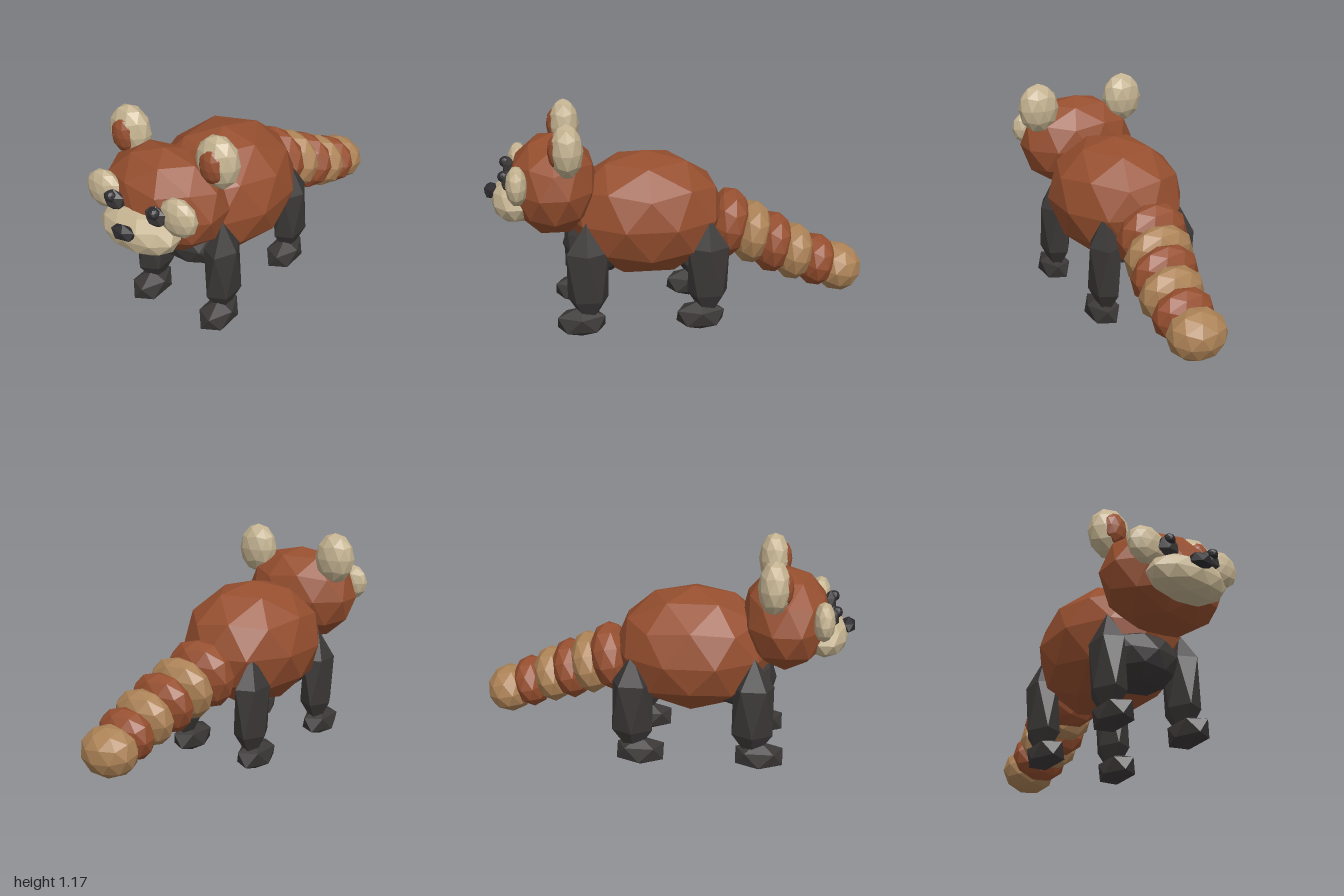
import * as THREE from 'three';

const mat = (name, color) => {
  const m = new THREE.MeshStandardMaterial({ color, flatShading: true });
  m.name = name;
  return m;
};

// Faceted ball with a corner pointing straight up
function facetedBall(detail) {
  const g = new THREE.IcosahedronGeometry(1, detail);
  g.rotateZ(-Math.atan(2 / (1 + Math.sqrt(5))));
  g.computeVertexNormals();
  return g;
}

export function createModel() {
  const root = new THREE.Group();
  root.name = 'lowPolyAnimal';

  const rust = mat('rust fur', 0x964f2f);
  const tan = mat('tan fur', 0xac8256);
  const cream = mat('cream fur', 0xc4b391);
  const dark = mat('dark fur', 0x3b3737);
  const black = mat('nose and eyes', 0x2d2b2e);

  const fine = facetedBall(1);
  const coarse = facetedBall(0);

  function blob(name, geometry, material, centre, radii, tilt = 0) {
    const mesh = new THREE.Mesh(geometry, material);
    mesh.name = name;
    mesh.position.set(...centre);
    mesh.scale.set(...radii);
    mesh.rotation.x = tilt;
    root.add(mesh);
  }

  // Torso and head
  blob('body', fine, rust, [0, 0.61, 0.165], [0.357, 0.335, 0.425]);
  blob('chest', fine, dark, [0, 0.45, 0.42], [0.225, 0.157, 0.19]);
  blob('head', fine, rust, [0, 0.79, 0.645], [0.337, 0.265, 0.235]);
  blob('muzzle', fine, cream, [0, 0.715, 0.845], [0.222, 0.115, 0.125]);
  blob('nose', coarse, black, [0, 0.76, 0.966], [0.072, 0.044, 0.04]);

  for (const [side, s] of [['left', 1], ['right', -1]]) {
    // Face and ears
    blob(side + 'Cheek', fine, cream, [s * 0.218, 0.848, 0.828], [0.104, 0.102, 0.056]);
    blob(side + 'EyePatch', coarse, dark, [s * 0.123, 0.845, 0.875], [0.064, 0.058, 0.035]);
    blob(side + 'Eye', fine, black, [s * 0.128, 0.872, 0.893], [0.03, 0.03, 0.03]);
    blob(side + 'Ear', fine, cream, [s * 0.259, 1.03, 0.575], [0.116, 0.14, 0.083]);
    blob(side + 'InnerEar', fine, rust, [s * 0.26, 1.03, 0.62], [0.07, 0.095, 0.05]);

    // Legs and feet
    for (const [end, z] of [['Front', 0.49], ['Back', -0.14]]) {
      blob(side + end + 'Leg', coarse, dark, [s * 0.217, 0.345, z], [0.093, 0.29, 0.125]);
      blob(side + end + 'Foot', coarse, dark, [s * 0.217, 0.086, z + 0.04], [0.092, 0.084, 0.146]);
    }
  }

  // Ringed tail: x, y, z, then radii
  const rings = [
    [0.01, 0.53, -0.275, 0.2, 0.19, 0.12],
    [0.04, 0.48, -0.4, 0.193, 0.172, 0.105],
    [0.07, 0.427, -0.51, 0.187, 0.166, 0.105],
    [0.095, 0.377, -0.622, 0.177, 0.154, 0.105],
    [0.103, 0.325, -0.745, 0.165, 0.141, 0.105],
    [0.1, 0.278, -0.868, 0.156, 0.132, 0.132],
  ];
  rings.forEach(([x, y, z, ...radii], i) =>
    blob('tailRing' + (i + 1), fine, i % 2 ? tan : rust, [x, y, z], radii, -0.2));

  return root;
}
